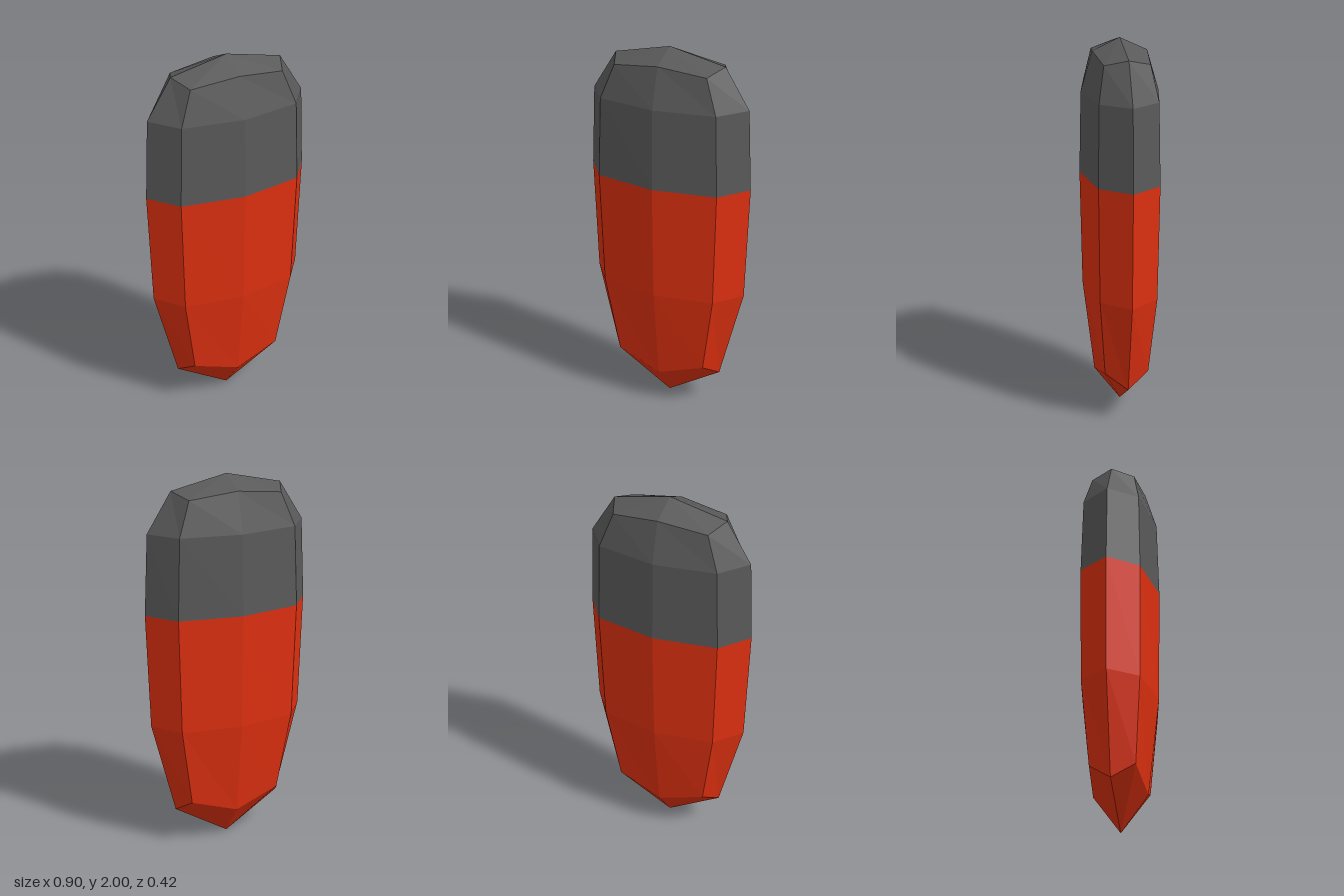
import * as THREE from 'three';

// Each ring: [side x, corner x, corner z, face z, height at side and face, height at corner]
const RINGS = [
  [0, 0, 0, 0, 0, 0],
  [0.30, 0.25, 0.115, 0.14, 0.19, 0.27],
  [0.43, 0.315, 0.148, 0.20, 0.70, 0.70],
  [0.45, 0.33, 0.155, 0.21, 1.31, 1.31],
  [0.43, 0.315, 0.148, 0.20, 1.73, 1.73],
  [0.30, 0.25, 0.115, 0.14, 1.935, 1.905],
  [0, 0, 0, 0, 2, 2],
];

// Eight points around, from +x towards +z
function ringPoints([sx, cx, cz, fz, y, cy]) {
  return [
    [sx, y, 0], [cx, cy, cz], [0, y, fz], [-cx, cy, cz],
    [-sx, y, 0], [-cx, cy, -cz], [0, y, -fz], [cx, cy, -cz],
  ];
}

// Faceted shell between consecutive rings; tips collapse to a single point
function shell(name, rings, material) {
  const loops = rings.map(ringPoints);
  const pos = [];
  for (let i = 0; i < loops.length - 1; i++) {
    const low = loops[i], high = loops[i + 1];
    for (let j = 0; j < 8; j++) {
      const k = (j + 1) % 8;
      if (rings[i + 1][0] > 0) pos.push(...low[j], ...high[j], ...high[k]);
      if (rings[i][0] > 0) pos.push(...low[j], ...high[k], ...low[k]);
    }
  }
  const geometry = new THREE.BufferGeometry();
  geometry.setAttribute('position', new THREE.Float32BufferAttribute(pos, 3));
  geometry.computeVertexNormals(); // unshared corners keep the facets flat
  const mesh = new THREE.Mesh(geometry, material);
  mesh.name = name;
  return mesh;
}

export function createModel() {
  const red = new THREE.MeshStandardMaterial({ color: 0xdd3010 });
  red.name = 'red';
  const grey = new THREE.MeshStandardMaterial({ color: 0x595959 });
  grey.name = 'dark grey';

  const group = new THREE.Group();
  group.name = 'facetedCapsule';
  group.add(shell('lowerBody', RINGS.slice(0, 4), red));
  group.add(shell('upperCap', RINGS.slice(3), grey));
  return group;
}
